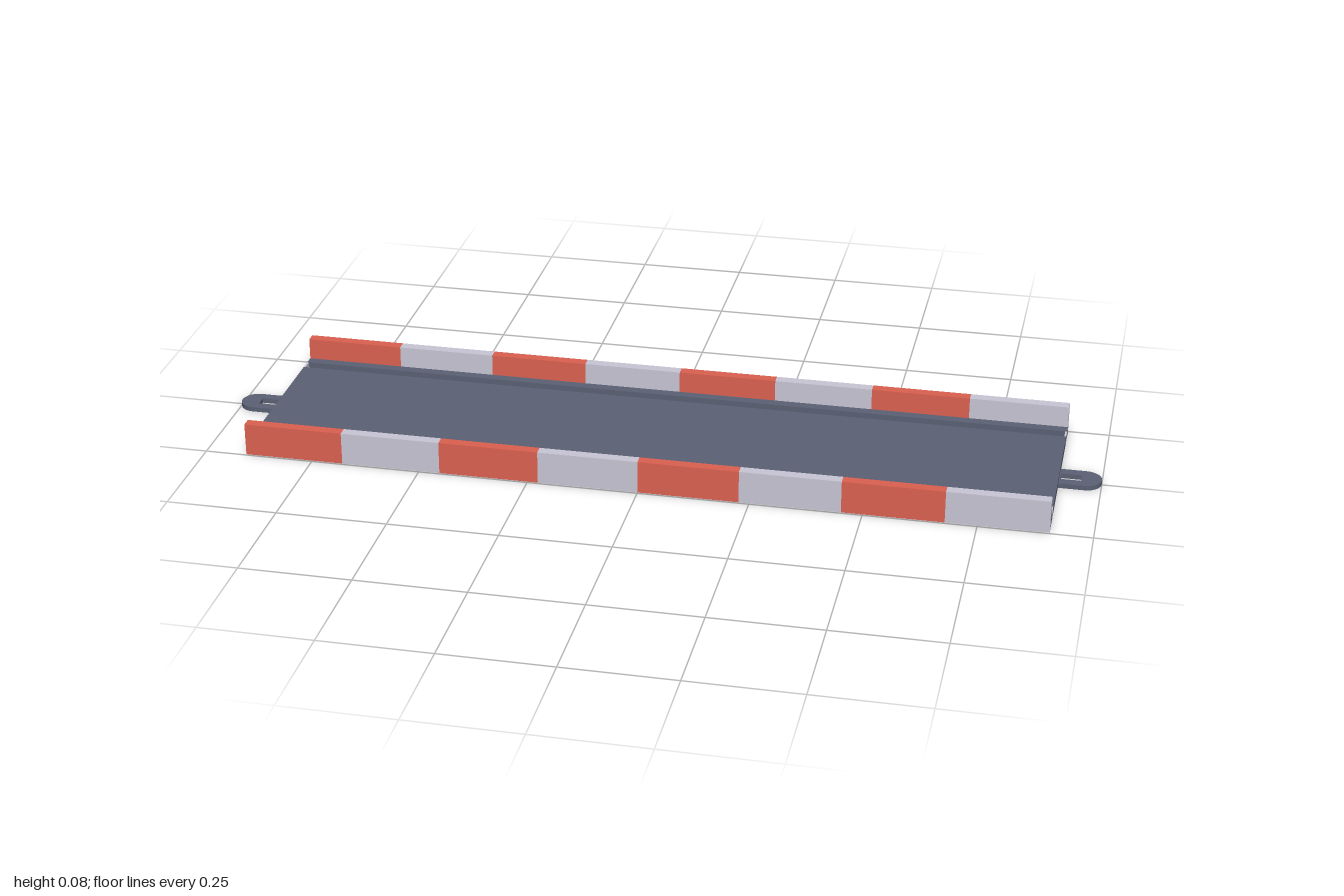
import * as THREE from 'three';

const paleGrey = new THREE.MeshStandardMaterial({ color: 0xc9c6d6 });
const warningRed = new THREE.MeshStandardMaterial({ color: 0xdb6150 });
const slate = new THREE.MeshStandardMaterial({ color: 0x5b6175 });
paleGrey.name = 'paleGrey';
warningRed.name = 'warningRed';
slate.name = 'slate';

const HALF = 0.906;   // half length of the deck
const SEGMENTS = 8;   // alternating red and pale bands

// Box given by its minimum and maximum corners
function block(parent, name, material, [x0, y0, z0], [x1, y1, z1]) {
  const mesh = new THREE.Mesh(new THREE.BoxGeometry(x1 - x0, y1 - y0, z1 - z0), material);
  mesh.position.set((x0 + x1) / 2, (y0 + y1) / 2, (z0 + z1) / 2);
  mesh.name = name;
  parent.add(mesh);
}

// Flat coupling loop with a rounded tip and a rectangular eye
function couplingGeometry() {
  const r = 0.036, root = HALF - 0.02, tip = 1;
  const s = new THREE.Shape();
  s.moveTo(root, -r);
  s.lineTo(tip - r, -r);
  s.absarc(tip - r, 0, r, -Math.PI / 2, Math.PI / 2, false);
  s.lineTo(root, r);
  s.closePath();
  const eye = new THREE.Path();
  eye.moveTo(HALF + 0.003, -0.013);
  eye.lineTo(HALF + 0.003, 0.013);
  eye.lineTo(0.955, 0.013);
  eye.lineTo(0.955, -0.013);
  eye.closePath();
  s.holes.push(eye);
  const g = new THREE.ExtrudeGeometry(s, { depth: 0.011, bevelEnabled: false, curveSegments: 8 });
  return g.rotateX(-Math.PI / 2);
}

export function createModel() {
  const model = new THREE.Group();
  model.name = 'trackSection';

  // Striped channel: bottom plate and two side walls per band
  const channel = new THREE.Group();
  channel.name = 'stripedChannel';
  model.add(channel);
  const step = (2 * HALF) / SEGMENTS;
  for (let i = 0; i < SEGMENTS; i++) {
    const x0 = -HALF + i * step, x1 = x0 + step;
    const material = i % 2 ? paleGrey : warningRed;
    block(channel, 'bottomPlate', material, [x0, 0, -0.222], [x1, 0.003, 0.222]);
    block(channel, 'backWall', material, [x0, 0, -0.246], [x1, 0.075, -0.222]);
    block(channel, 'frontWall', material, [x0, 0, 0.222], [x1, 0.075, 0.246]);
  }

  // Deck slabs separated by two wheel grooves
  block(model, 'deck', slate, [-HALF, 0.003, -0.172], [HALF, 0.025, 0.172]);
  for (const side of [-1, 1]) {
    const span = (a, b) => (side > 0 ? [a, b] : [-b, -a]);
    const [e0, e1] = span(0.199, 0.222);
    block(model, 'deckEdge', slate, [-HALF, 0.003, e0], [HALF, 0.025, e1]);
    const [g0, g1] = span(0.172, 0.199);
    block(model, 'grooveFloor', paleGrey, [-HALF, 0.003, g0], [HALF, 0.006, g1]);
    for (const end of [-1, 1]) {
      const a = end * HALF, b = end * (HALF - 0.004);
      block(model, 'grooveStop', paleGrey, [Math.min(a, b), 0.006, g0], [Math.max(a, b), 0.025, g1]);
    }
  }

  // Coupling loops at both ends
  const loop = couplingGeometry();
  for (const end of [1, -1]) {
    const mesh = new THREE.Mesh(loop, slate);
    mesh.name = end > 0 ? 'leftCoupling' : 'rightCoupling';
    mesh.position.y = 0.001;
    mesh.rotation.y = end > 0 ? 0 : Math.PI;
    model.add(mesh);
  }
  return model;
}
